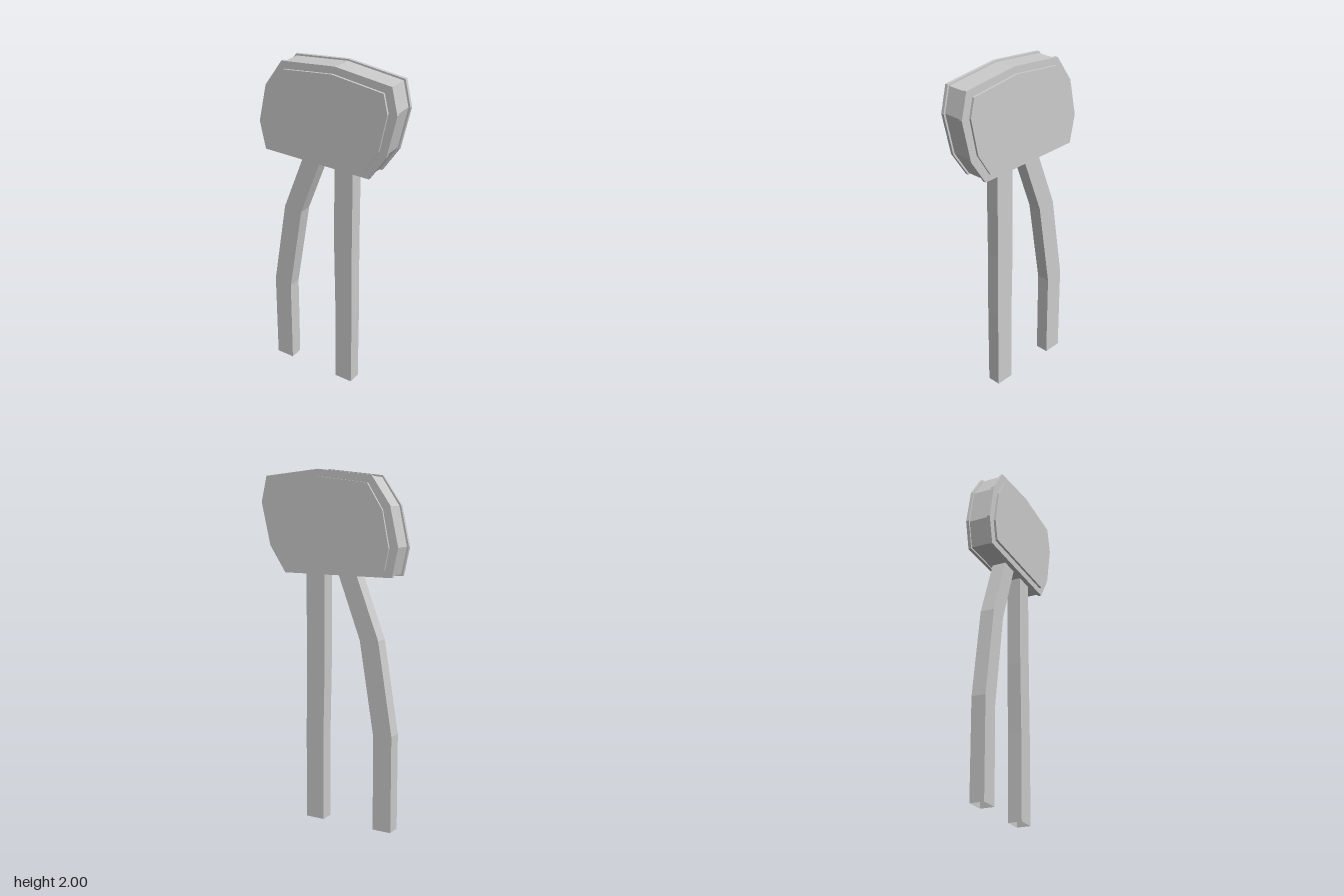
import * as THREE from 'three';

const material = new THREE.MeshStandardMaterial({ color: 0xcccccc, flatShading: true });
const openMaterial = new THREE.MeshStandardMaterial({ color: 0xcccccc, flatShading: true, side: THREE.DoubleSide });

// Outlines of the sign, seen from the front
const outer = [[-0.395, 1.43], [0.275, 1.43], [0.375, 1.58], [0.43, 1.82], [0.395, 1.965],
  [0.06, 2], [-0.27, 1.965], [-0.38, 1.81], [-0.43, 1.59]];
const inner = [[-0.355, 1.47], [0.25, 1.47], [0.335, 1.605], [0.38, 1.82], [0.355, 1.925],
  [0.05, 1.96], [-0.25, 1.925], [-0.34, 1.785], [-0.38, 1.585]];
// The core sits a little way in from the rims
const core = outer.map(([x, y], i) => [
  THREE.MathUtils.lerp(x, inner[i][0], 0.23), THREE.MathUtils.lerp(y, inner[i][1], 0.23)]);

// A slab of the given outline between two depths
function slab(name, outline, z0, z1) {
  const shape = new THREE.Shape(outline.map(([x, y]) => new THREE.Vector2(x, y)));
  const geometry = new THREE.ExtrudeGeometry(shape, { depth: z1 - z0, bevelEnabled: false });
  geometry.translate(0, 0, z0);
  const mesh = new THREE.Mesh(geometry, material);
  mesh.name = name;
  return mesh;
}

// A bent square post, open at the ends; each section is [left x, right x, left y, right y]
function post(name, sections, half = 0.04) {
  const positions = [], index = [];
  sections.forEach(([x0, x1, y0, y1], i) => {
    positions.push(x0, y0, half, x1, y1, half, x1, y1, -half, x0, y0, -half);
    if (i === 0) return;
    for (let j = 0; j < 4; j++) {
      const a = (i - 1) * 4 + j, b = (i - 1) * 4 + (j + 1) % 4;
      index.push(a, b, b + 4, a, b + 4, a + 4);
    }
  });
  const geometry = new THREE.BufferGeometry();
  geometry.setAttribute('position', new THREE.Float32BufferAttribute(positions, 3));
  geometry.setIndex(index);
  const flat = geometry.toNonIndexed();
  flat.computeVertexNormals();
  const mesh = new THREE.Mesh(flat, openMaterial);
  mesh.name = name;
  return mesh;
}

export function createModel() {
  const model = new THREE.Group();
  model.name = 'signOnPosts';

  // Sign: core, two rims and two raised face panels
  const sign = new THREE.Group();
  sign.name = 'sign';
  sign.add(
    slab('signCore', core, -0.06, 0.06),
    slab('frontRim', outer, 0.056, 0.073),
    slab('backRim', outer, -0.073, -0.056),
    slab('frontPanel', inner, 0.07, 0.085),
    slab('backPanel', inner, -0.085, -0.07),
  );

  // Posts: one bent, one nearly straight
  model.add(sign,
    post('bentPost', [[-0.387, -0.275, 0, 0], [-0.387, -0.275, 0.555, 0.54],
      [-0.3, -0.187, 1.08, 1.075], [-0.157, -0.045, 1.45, 1.45]]),
    post('straightPost', [[0.047, 0.16, 0, 0], [0.047, 0.16, 0.5, 0.5],
      [0.038, 0.155, 0.9, 0.9], [0.038, 0.155, 1.45, 1.45]]),
  );
  return model;
}
